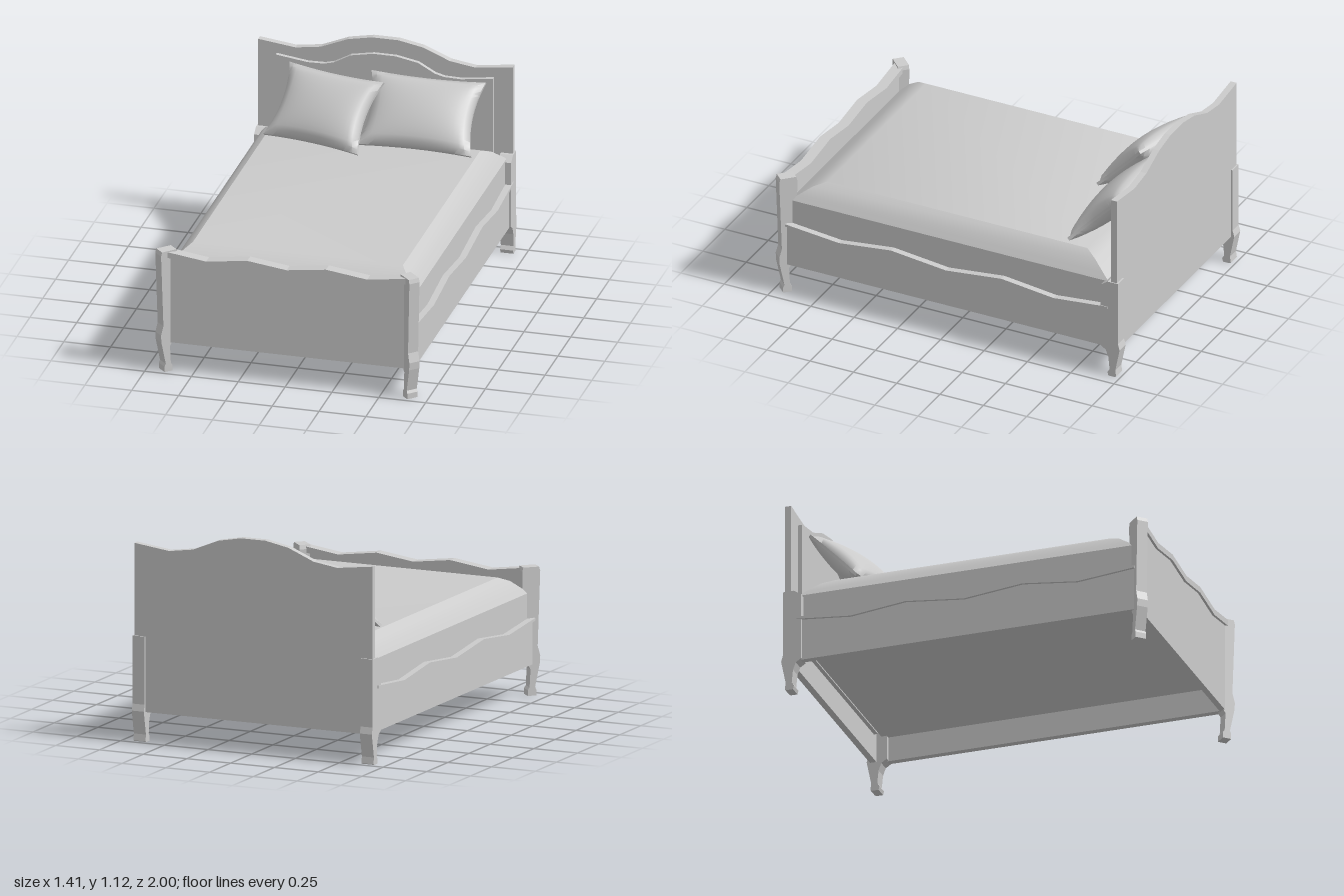
import * as THREE from 'three';
import { toCreasedNormals } from 'three/addons/utils/BufferGeometryUtils.js';

export function createModel() {
  const bed = new THREE.Group();
  bed.name = 'bed';
  const material = new THREE.MeshStandardMaterial({ color: 0xcccccc });

  const add = (geometry, name) => {
    const mesh = new THREE.Mesh(geometry, material);
    mesh.name = name;
    bed.add(mesh);
    return mesh;
  };
  // Flat outline pushed from z0 to z1
  const slab = (points, z0, z1) => {
    const shape = new THREE.Shape(points.map(([x, y]) => new THREE.Vector2(x, y)));
    return new THREE.ExtrudeGeometry(shape, { depth: z1 - z0, bevelEnabled: false }).translate(0, 0, z0);
  };
  // Outline given in (z, y), pushed from x0 to x1
  const sideSlab = (points, x0, x1) => slab(points, -x1, -x0).rotateY(-Math.PI / 2);
  // Right half of a symmetric edge, continued to the left
  const mirrored = half => [...half, ...half.filter(p => p[0] > 0).reverse().map(([x, y]) => [-x, y])];
  const strip = (line, drop) => [...line, ...[...line].reverse().map(([x, y]) => [x, y - drop])];
  const board = (line, bottom) => [...line, [line.at(-1)[0], bottom], [line[0][0], bottom]];

  // Headboard with arched raised panel
  const headTop = mirrored([[0.68, 1.045], [0.48, 1.02], [0.345, 1.04], [0.2, 1.1], [0.07, 1.125]]);
  add(slab(board(headTop, 0.16), -0.982, -0.947), 'headboard');
  const panelTop = mirrored([[0.58, 0.978], [0.41, 0.955], [0.32, 0.957], [0.27, 0.97], [0.18, 1.02], [0.06, 1.043]]);
  add(slab(board(panelTop, 0.3), -0.947, -0.925), 'headboardPanel');

  // Footboard with wavy top moulding
  const footTop = mirrored([[0.64, 0.672], [0.43, 0.643], [0.21, 0.673], [0, 0.645]]);
  add(slab(board(footTop.map(([x, y]) => [x, y - 0.015]), 0.16), 0.925, 0.957), 'footboard');
  add(slab(strip(footTop, 0.032), 0.912, 0.97), 'footboardMoulding');

  // Side rails, mouldings and legs
  const railTop = mirrored([[0.93, 0.41], [0.62, 0.38], [0.32, 0.415], [0, 0.38]]);
  const backLeg = [
    [-0.89, 0.53], [-0.93, 0.558], [-0.99, 0.558], [-0.99, 0.2], [-1, 0.165], [-0.975, 0.04], [-0.98, 0.005],
    [-0.97, 0], [-0.935, 0], [-0.93, 0.02], [-0.942, 0.04], [-0.935, 0.11], [-0.92, 0.15], [-0.89, 0.17],
  ];
  const frontLeg = [
    [0.042, 0.677], [0.048, 0.655], [0.034, 0.26], [0.048, 0.21], [0.046, 0.17], [0.02, 0.045], [0.027, 0.03],
    [0.027, 0], [-0.02, 0], [-0.02, 0.03], [-0.01, 0.045], [-0.005, 0.14], [-0.03, 0.18], [-0.045, 0.26],
    [-0.05, 0.655], [-0.044, 0.677],
  ];
  for (const [side, label] of [[1, 'left'], [-1, 'right']]) {
    const span = (inner, outer) => side > 0 ? [inner, outer] : [-outer, -inner];
    add(sideSlab(board(railTop, 0.165), ...span(0.64, 0.676)), label + 'SideRail');
    add(sideSlab(strip(railTop, 0.014), ...span(0.635, 0.69)), label + 'RailMoulding');
    add(sideSlab(backLeg, ...span(0.617, 0.686)), label + 'BackLeg');
    // Front legs stand diagonally on the corners
    const leg = add(slab(frontLeg, -0.03, 0.03), label + 'FrontLeg');
    leg.position.set(side * 0.65, 0, 0.942);
    leg.rotation.y = side > 0 ? -Math.PI / 4 : -3 * Math.PI / 4;
  }

  add(mattressGeometry(), 'mattress');

  // Pillows leaning on the headboard
  for (const [name, width, x, y, z, turn] of [
    ['leftPillow', 0.61, 0.24, 0.805, -0.775, 0],
    ['rightPillow', 0.55, -0.263, 0.803, -0.71, -0.23],
  ]) {
    const pillow = add(pillowGeometry(width, 0.41, 0.08), name);
    pillow.position.set(x, y, z);
    pillow.rotation.set(-0.77, turn, 0, 'YXZ');
  }
  return bed;
}

// Rectangular rings stacked upward, with softened shoulders
function mattressGeometry() {
  const rings = [[0.655, 0.92, 0.3], [0.655, 0.92, 0.54], [0.635, 0.88, 0.57], [0.6, 0.815, 0.618], [0.56, 0.75, 0.645]];
  const positions = [], index = [];
  for (const [x, z, y] of rings) positions.push(-x, y, z, x, y, z, x, y, -z, -x, y, -z);
  for (let r = 0; r < rings.length - 1; r++) {
    for (let i = 0; i < 4; i++) {
      const a = r * 4 + i, b = r * 4 + (i + 1) % 4;
      index.push(a, b, b + 4, a, b + 4, a + 4);
    }
  }
  const t = (rings.length - 1) * 4;
  index.push(t, t + 1, t + 2, t, t + 2, t + 3, 0, 2, 1, 0, 3, 2);
  const geometry = new THREE.BufferGeometry();
  geometry.setAttribute('position', new THREE.Float32BufferAttribute(positions, 3));
  geometry.setIndex(index);
  return toCreasedNormals(geometry, 0.55);
}

// Box inflated in the middle, with pinched sides and pointed corners
function pillowGeometry(width, height, bulge) {
  const geometry = new THREE.BoxGeometry(2, 2, 2, 20, 16, 1);
  const p = geometry.attributes.position;
  for (let i = 0; i < p.count; i++) {
    const u = p.getX(i), v = p.getY(i);
    const swell = Math.pow(Math.max(0, (1 - u * u) * (1 - v * v)), 0.45);
    p.setXYZ(i,
      u * (width / 2 - 0.035 * (1 - v * v)),
      v * (height / 2 - 0.012 * (1 - u * u)),
      p.getZ(i) * (0.008 + (bulge - 0.008) * swell));
  }
  return toCreasedNormals(geometry, 0.8);
}
